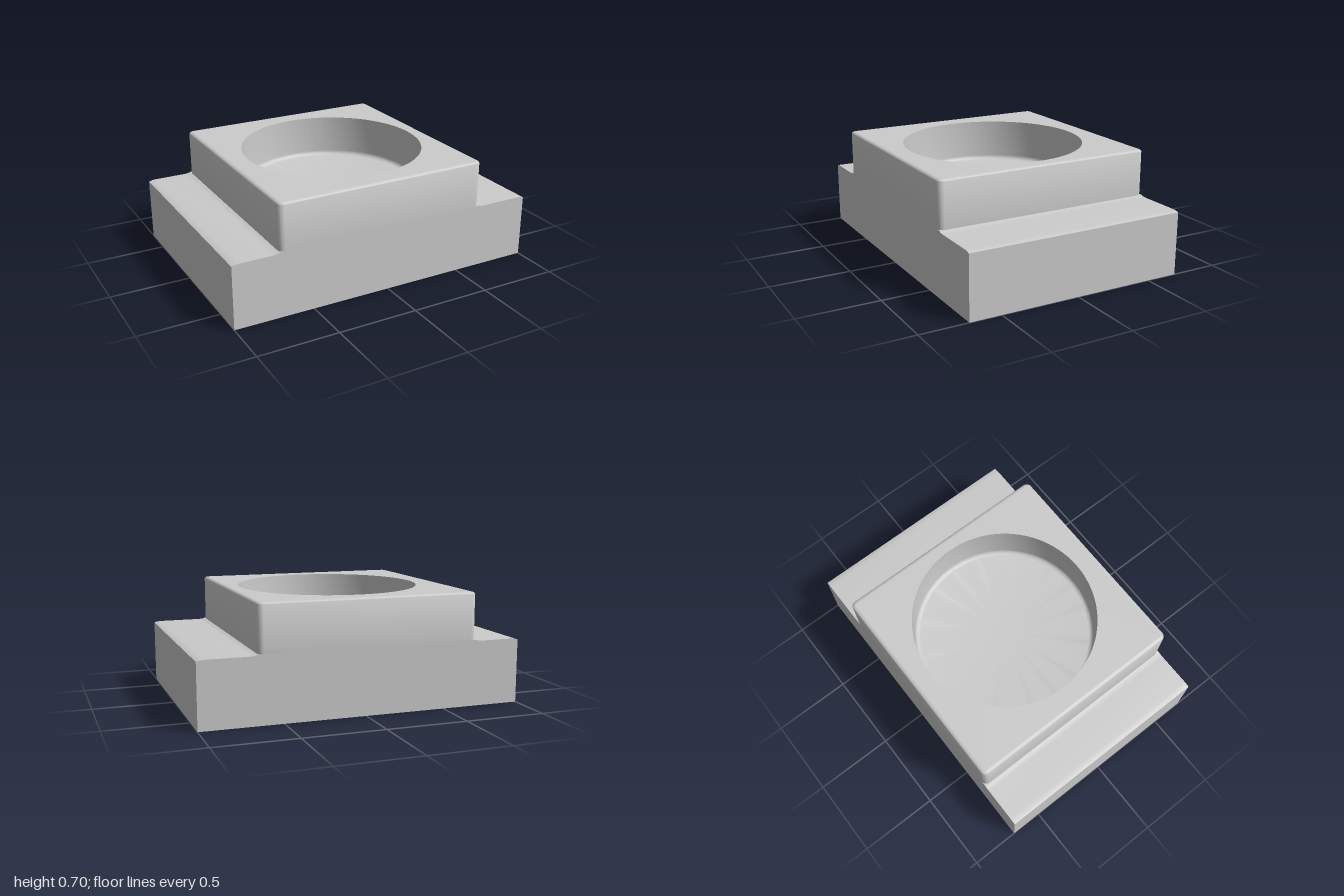
import * as THREE from 'three';
import { toCreasedNormals } from 'three/addons/utils/BufferGeometryUtils.js';

const X0 = -0.71, X1 = 0.65, HALF_DEPTH = 0.7;
const LEDGE = 0.41, TOP = 0.7, HOLE_R = 0.57, HOLE_X = -0.005;

// Rounded rectangle of the upper block, counter-clockwise, shrunk by an inset
function outline(inset) {
  const a = X0 + inset, b = X1 - inset, d = HALF_DEPTH - inset, r = 0.035 - inset;
  const s = new THREE.Shape();
  s.absarc(b - r, -d + r, r, -Math.PI / 2, 0, false);
  s.absarc(b - r, d - r, r, 0, Math.PI / 2, false);
  s.absarc(a + r, d - r, r, Math.PI / 2, Math.PI, false);
  s.absarc(a + r, -d + r, r, Math.PI, Math.PI * 1.5, false);
  return s;
}

// Skin between stacked outlines, each given as [inset, height]
function loft(levels) {
  const pos = [], index = [];
  let n = 0;
  levels.forEach(([inset, y], k) => {
    const pts = outline(inset).getPoints(8);
    n = pts.length;
    pts.forEach(p => pos.push(p.x, y, -p.y));
    if (k === 0) return;
    for (let i = 0; i < n; i++) {
      const j = (i + 1) % n, lo = (k - 1) * n, hi = k * n;
      index.push(lo + i, lo + j, hi + j, lo + i, hi + j, hi + i);
    }
  });
  const g = new THREE.BufferGeometry();
  g.setAttribute('position', new THREE.Float32BufferAttribute(pos, 3));
  g.setIndex(index);
  return toCreasedNormals(g, 0.7);
}

export function createModel() {
  const model = new THREE.Group();
  model.name = 'steppedBlock';
  const material = new THREE.MeshStandardMaterial({ color: 0xcccccc });
  const add = (name, geometry, parent = model) => {
    const mesh = new THREE.Mesh(geometry, material);
    mesh.name = name;
    parent.add(mesh);
    return mesh;
  };

  // Base slab: softened outer edges and a slight rise towards the upper block
  const section = new THREE.Shape([
    [-1, 0], [1, 0], [1, 0.394], [0.985, 0.399], [0.96, 0.402],
    [0.69, 0.402], [0.665, 0.404], [X1, LEDGE],
    [X0, LEDGE], [-0.725, 0.404], [-0.75, 0.402],
    [-0.96, 0.402], [-0.985, 0.399], [-1, 0.394],
  ].map(([x, y]) => new THREE.Vector2(x, y)));
  const slab = new THREE.ExtrudeGeometry(section, { depth: 2 * HALF_DEPTH, bevelEnabled: false });
  slab.translate(0, 0, -HALF_DEPTH);
  add('baseSlab', toCreasedNormals(slab, 0.6));

  // Upper block: rounded sides and a top face with a round opening
  const block = new THREE.Group();
  block.name = 'upperBlock';
  model.add(block);
  add('blockSides', loft([[0, LEDGE], [0, 0.688], [0.003, 0.693], [0.01, 0.698], [0.022, TOP]]), block);
  const topShape = outline(0.022);
  topShape.holes.push(new THREE.Path().absarc(HOLE_X, 0, HOLE_R, 0, Math.PI * 2, true));
  const top = new THREE.ShapeGeometry(topShape, 48);
  top.rotateX(-Math.PI / 2);
  top.translate(0, TOP, 0);
  add('blockTop', top, block);

  // Pocket: straight wall, small fillet and flat floor
  const floorY = 0.43, fillet = 0.03, profile = [new THREE.Vector2(0, floorY)];
  for (let i = 0; i <= 6; i++) {
    const t = (i / 6) * Math.PI / 2;
    profile.push(new THREE.Vector2(
      HOLE_R - fillet + fillet * Math.sin(t),
      floorY + fillet - fillet * Math.cos(t)));
  }
  profile.push(new THREE.Vector2(HOLE_R, TOP));
  const pocketGeometry = new THREE.LatheGeometry(profile.reverse(), 96);
  const pocket = add('roundPocket', toCreasedNormals(pocketGeometry, 0.6), block);
  pocket.position.x = HOLE_X;

  return model;
}
